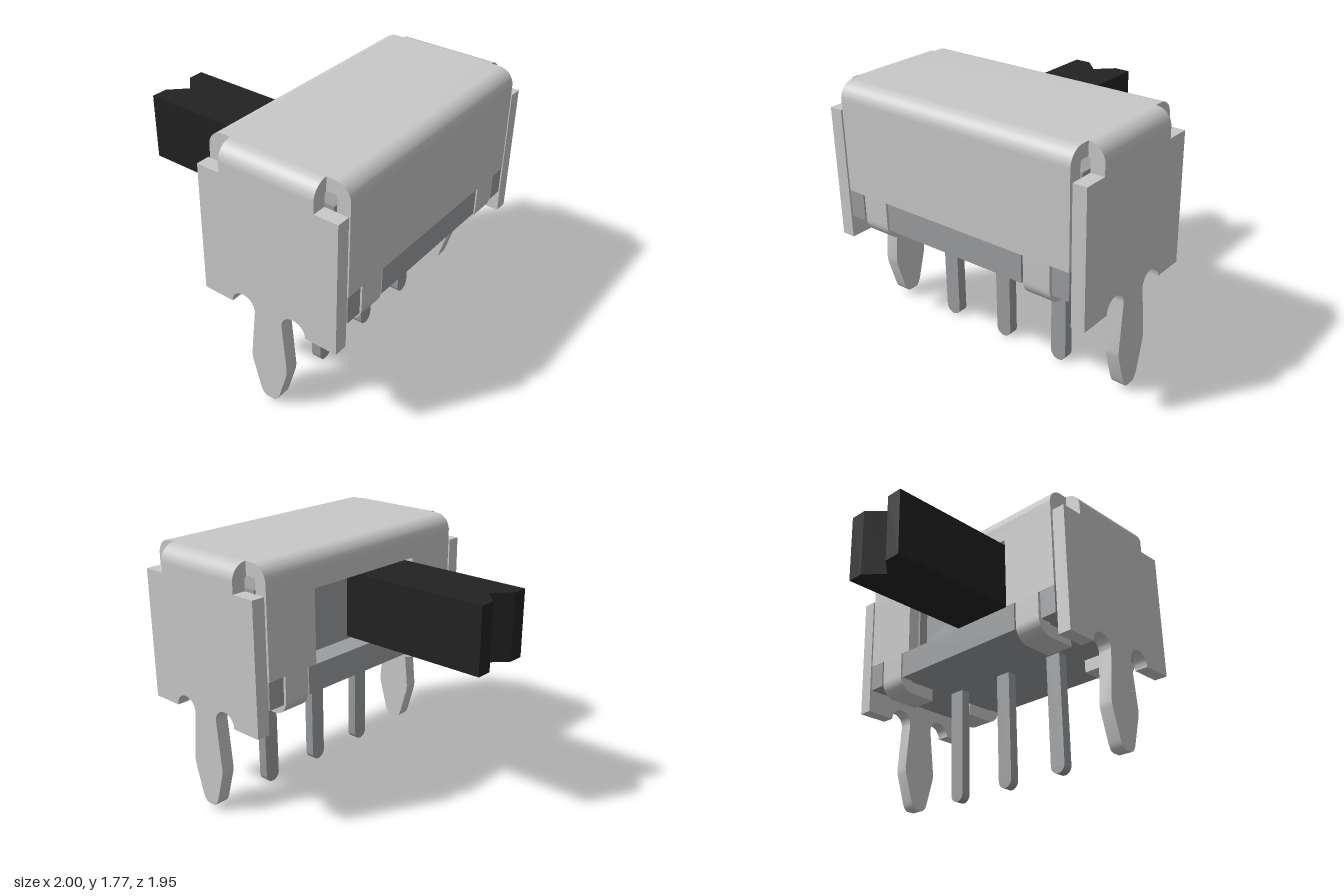
import * as THREE from 'three';
import { toCreasedNormals } from 'three/addons/utils/BufferGeometryUtils.js';

const metal = new THREE.MeshStandardMaterial({ color: 0xc8c8c8 });
metal.name = 'shell metal';
const grey = new THREE.MeshStandardMaterial({ color: 0x9b9d9f });
grey.name = 'base grey';
const black = new THREE.MeshStandardMaterial({ color: 0x222222 });
black.name = 'lever black';

const PI = Math.PI;
const BACK = -0.045, FRONT = 0.975, MID = 0.465; // body depth along z
const W = 0.89, T = 0.09; // half width of the shell, sheet thickness

const poly = (pts) => new THREE.Shape(pts.map(([a, b]) => new THREE.Vector2(a, b)));
const extrude = (shape, depth) =>
  new THREE.ExtrudeGeometry(shape, { depth, bevelEnabled: false, curveSegments: 14 });

// Shape in (z, y), swept along x
const alongX = (shape, x0, x1) => extrude(shape, x1 - x0).rotateY(-PI / 2).translate(x1, 0, 0);
// Shape in (x, z), swept along y
const alongY = (shape, y0, y1) => extrude(shape, y1 - y0).rotateX(PI / 2).translate(0, y1, 0);
// Shape in (x, y), swept along z
const alongZ = (shape, z0, z1) => extrude(shape, z1 - z0).translate(0, 0, z0);

export function createModel() {
  const model = new THREE.Group();
  model.name = 'slideSwitch';

  const add = (name, geometry, material) => {
    const mesh = new THREE.Mesh(toCreasedNormals(geometry, 0.5), material);
    mesh.name = name;
    model.add(mesh);
  };
  const box = (name, x0, x1, y0, y1, z0, z1, material) => add(name,
    new THREE.BoxGeometry(x1 - x0, y1 - y0, z1 - z0)
      .translate((x0 + x1) / 2, (y0 + y1) / 2, (z0 + z1) / 2), material);

  // Shell roof, bent down at front and back
  const roof = new THREE.Shape();
  roof.moveTo(BACK, 1.54);
  roof.lineTo(BACK + T, 1.54);
  roof.absarc(BACK + 0.11, 1.66, 0.02, PI, PI / 2, true);
  roof.absarc(FRONT - 0.11, 1.66, 0.02, PI / 2, 0, true);
  roof.lineTo(FRONT - T, 1.54);
  roof.lineTo(FRONT, 1.54);
  roof.absarc(FRONT - 0.11, 1.66, 0.11, 0, PI / 2, false);
  roof.absarc(BACK + 0.11, 1.66, 0.11, PI / 2, PI, false);
  add('shellRoof', alongX(roof, -W, W), metal);

  // Shell walls, the back one with a slot for the lever
  box('frontWall', -W, W, 1.03, 1.54, FRONT - T, FRONT, metal);
  for (const s of [-1, 1]) {
    const x = s * (W + 0.48) / 2, h = (W - 0.48) / 2;
    box('backWall', x - h, x + h, 1.03, 1.54, BACK, BACK + T, metal);
  }

  // Retaining tabs folded under the base
  const tab = new THREE.Shape();
  tab.moveTo(FRONT, 1.03);
  tab.lineTo(FRONT - T, 1.03);
  tab.absarc(FRONT - 0.11, 0.86, 0.02, 0, -PI / 2, true);
  tab.lineTo(0.66, 0.84);
  tab.lineTo(0.66, 0.75);
  tab.absarc(FRONT - 0.11, 0.86, 0.11, -PI / 2, 0, false);
  for (const x of [-0.755, 0.56]) {
    add('frontTab', alongX(tab, x, x + 0.195), metal);
    // Turning half round about the body's middle gives the back tabs
    add('backTab', alongX(tab, x, x + 0.195).translate(0, 0, -MID).rotateY(PI)
      .translate(0, 0, MID), metal);
  }

  // Side plates with mounting legs
  const plate = new THREE.Shape();
  plate.moveTo(BACK, 0.68);
  plate.lineTo(MID - 0.285, 0.68);
  plate.absarc(MID - 0.195, 0.68, 0.09, PI, 0, true);
  plate.lineTo(MID - 0.14, 0.33);
  plate.lineTo(MID - 0.135, 0.29);
  plate.lineTo(MID - 0.075, 0.085);
  plate.quadraticCurveTo(MID - 0.055, 0.03, MID - 0.025, 0.03);
  plate.lineTo(MID + 0.025, 0.03);
  plate.quadraticCurveTo(MID + 0.055, 0.03, MID + 0.075, 0.085);
  plate.lineTo(MID + 0.135, 0.29);
  plate.lineTo(MID + 0.14, 0.33);
  plate.lineTo(MID + 0.105, 0.68);
  plate.absarc(MID + 0.195, 0.68, 0.09, PI, 0, true);
  for (const [z, y] of [[FRONT, 0.68], [FRONT, 1.585], [0.81, 1.585], [0.81, 1.66],
    [0.125, 1.66], [0.125, 1.585], [BACK, 1.585]]) plate.lineTo(z, y);
  add('leftPlate', alongX(plate, 0.905, 1), metal);
  add('rightPlate', alongX(plate, -1, -0.905), metal);

  // Bends joining the roof to the side plates
  const bend = new THREE.Shape();
  bend.moveTo(W, 1.68);
  bend.absarc(W, 1.66, 0.015, PI / 2, 0, true);
  bend.lineTo(1, 1.66);
  bend.absarc(W, 1.66, 0.11, 0, PI / 2, false);
  add('leftBend', alongZ(bend, 0.125, 0.81), metal);
  add('rightBend', alongZ(bend, 0.125, 0.81).translate(0, 0, -0.4675).rotateY(PI)
    .translate(0, 0, 0.4675), metal);

  // Base flange, notched around the tabs
  const f = FRONT - 0.003, b = BACK + 0.003, n = 0.095;
  const edge = (z, zn) => [[-W, z], [-0.77, z], [-0.77, zn], [-0.545, zn], [-0.545, z],
    [0.545, z], [0.545, zn], [0.77, zn], [0.77, z], [W, z]];
  const flange = poly([...edge(b, b + n), ...edge(f, f - n).reverse()]);
  add('baseFlange', alongY(flange, 0.84, 1.03), grey);

  // Inner body, with a pocket behind the slot
  box('innerBody', -W, W, 1.03, 1.6, 0.13, 0.865, grey);
  const frame = poly([[-W, 1.03], [-0.48, 1.03], [-0.48, 1.54], [0.48, 1.54],
    [0.48, 1.03], [W, 1.03], [W, 1.6], [-W, 1.6]]);
  add('pocketFrame', alongZ(frame, 0.06, 0.13), grey);

  // Contact pins with rounded tips
  for (const x of [-0.465, 0, 0.465]) {
    const pin = new THREE.Shape();
    pin.moveTo(x + 0.0575, 0.86);
    pin.lineTo(x - 0.0575, 0.86);
    pin.absarc(x, 0.0575, 0.0575, PI, 2 * PI, false);
    add('pin', alongZ(pin, 0.43, 0.5), grey);
  }

  // Lever with a notched end
  const lever = poly([[-0.465, 0.14], [-0.465, -0.975], [-0.35, -0.975], [-0.2325, -0.86],
    [-0.115, -0.975], [0, -0.975], [0, 0.14]]);
  add('lever', alongY(lever, 1.05, 1.515), black);

  return model;
}
